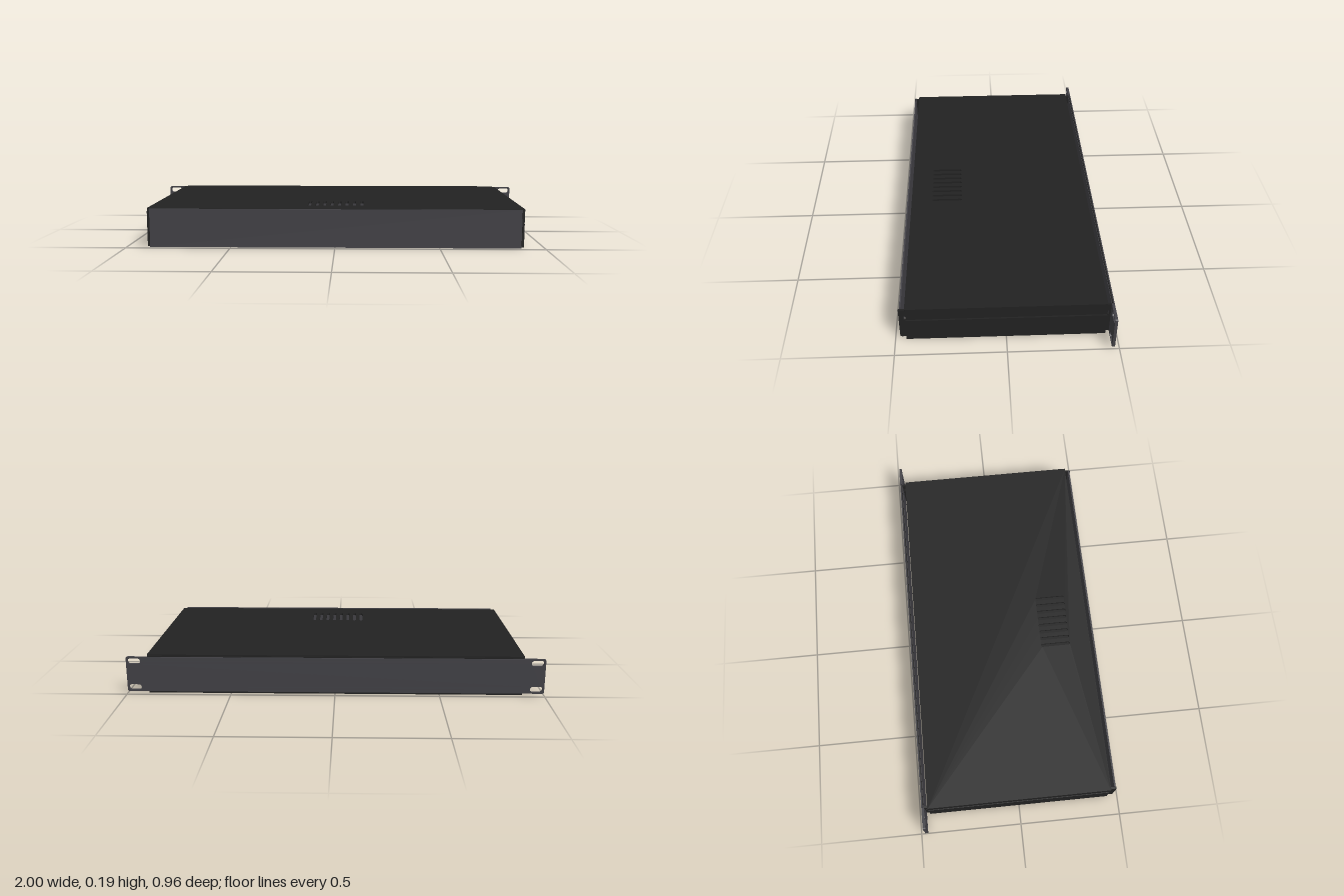
import * as THREE from 'three';

const body = new THREE.MeshStandardMaterial({ color: 0x222222 });
body.name = 'black metal';
const panel = new THREE.MeshStandardMaterial({ color: 0x434247 });
panel.name = 'grey panel';

// Rounded rectangle outline centred on (x, y)
function roundRect(target, x, y, w, h, r) {
  const a = w / 2 - r, b = h / 2 - r;
  target.absarc(x + a, y + b, r, 0, Math.PI / 2);
  target.absarc(x - a, y + b, r, Math.PI / 2, Math.PI);
  target.absarc(x - a, y - b, r, Math.PI, Math.PI * 1.5);
  target.absarc(x + a, y - b, r, Math.PI * 1.5, Math.PI * 2);
  target.closePath();
  return target;
}

const slab = (shape, depth) =>
  new THREE.ExtrudeGeometry(shape, { depth, bevelEnabled: false, curveSegments: 6 });

export function createModel() {
  const model = new THREE.Group();
  const add = (name, geometry, material) => {
    const mesh = new THREE.Mesh(geometry, material);
    mesh.name = name;
    model.add(mesh);
    return mesh;
  };
  // Box given by its lower and upper limits
  const box = (name, material, x0, x1, y0, y1, z0, z1) =>
    add(name, new THREE.BoxGeometry(x1 - x0, y1 - y0, z1 - z0), material)
      .position.set((x0 + x1) / 2, (y0 + y1) / 2, (z0 + z1) / 2);

  // Top cover with a row of ventilation slots
  const cover = roundRect(new THREE.Shape(), 0, 0, 1.81, 0.9, 0.003);
  for (let i = 0; i < 8; i++) {
    cover.holes.push(roundRect(new THREE.Path(), (i - 3.5) * 0.037, -0.27, 0.016, 0.15, 0.0075));
  }
  const coverGeometry = slab(cover, 0.01);
  coverGeometry.rotateX(-Math.PI / 2);
  add('topCover', coverGeometry, body).position.y = 0.175;

  // Bottom cover
  box('bottomCover', body, -0.905, 0.905, 0, 0.012, -0.45, 0.45);

  // Side walls with bolt openings, and the rails that leave a groove between them
  const wall = new THREE.Shape();
  wall.moveTo(-0.478, 0.012).lineTo(0.466, 0.012).lineTo(0.466, 0.175).lineTo(-0.478, 0.175).closePath();
  for (const z of [-0.452, 0.457]) {
    wall.holes.push(roundRect(new THREE.Path(), z, 0.126, 0.01, 0.022, 0.001));
  }
  for (const side of [-1, 1]) {
    const label = side > 0 ? 'left' : 'right';
    const geometry = slab(wall, 0.01);
    geometry.rotateY(Math.PI / 2);
    add(label + 'SideWall', geometry, body).position.x = side * 0.893 - 0.005;
    const inner = side * 0.897, outer = side * 0.905;
    const x0 = Math.min(inner, outer), x1 = Math.max(inner, outer);
    box(label + 'UpperRail', body, x0, x1, 0.137, 0.176, -0.45, 0.447);
    box(label + 'LowerRail', body, x0, x1, 0.011, 0.115, -0.45, 0.447);
  }

  // Front plate
  box('frontPlate', panel, -0.889, 0.889, 0, 0.185, 0.466, 0.473);

  // Backing plate behind the rack panel
  box('backingPlate', body, -0.897, 0.897, 0, 0.185, -0.473, -0.468);

  // Wide rack panel with mounting slots in both ears
  const rack = roundRect(new THREE.Shape(), 0, 0.095, 2, 0.172, 0.008);
  for (const x of [-0.962, 0.962]) {
    for (const y of [0.03, 0.16]) {
      rack.holes.push(roundRect(new THREE.Path(), x, y, 0.06, 0.027, 0.013));
    }
  }
  add('rackPanel', slab(rack, 0.013), panel).position.z = -0.479;

  return model;
}
